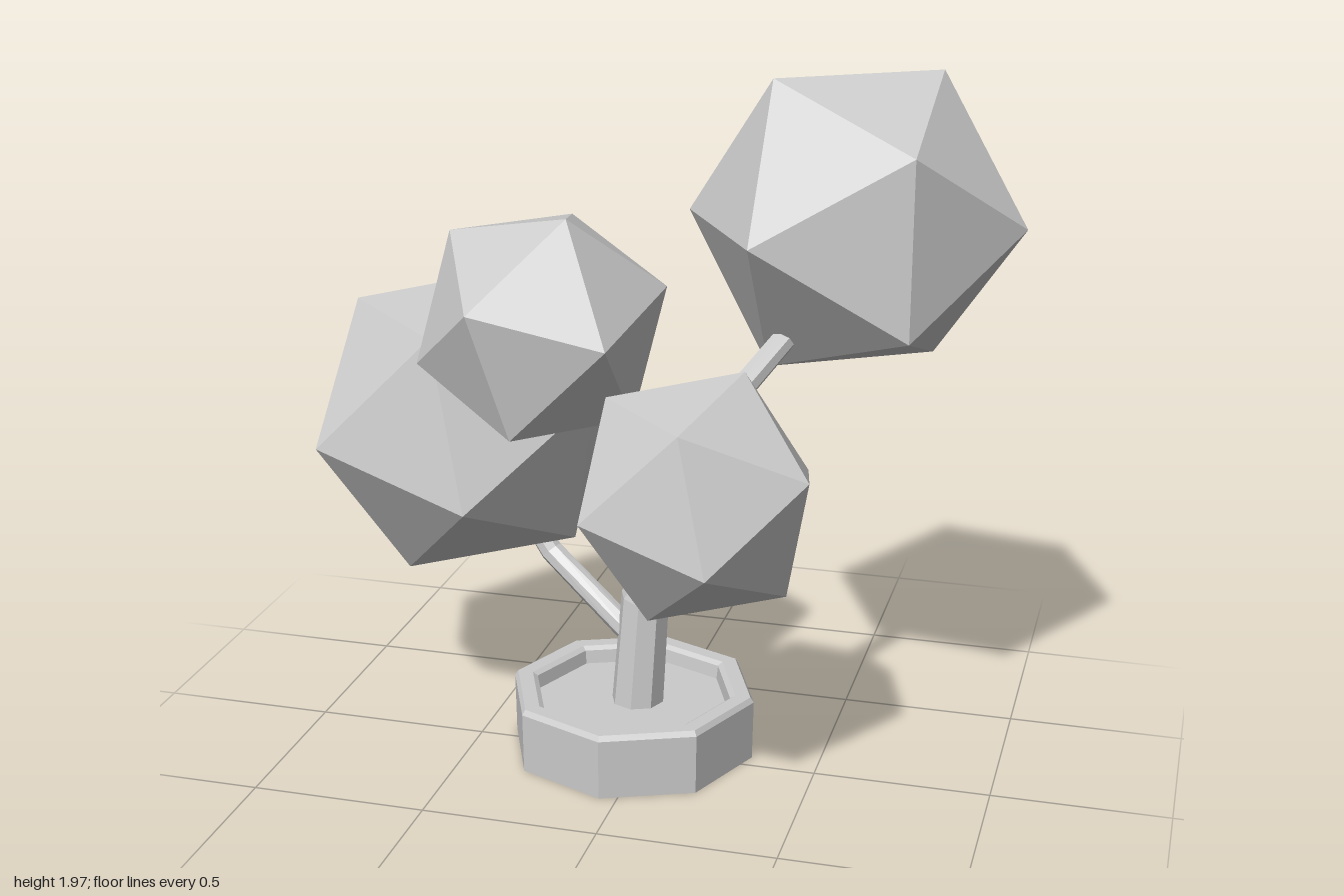
import * as THREE from 'three';

const material = new THREE.MeshStandardMaterial({ color: 0xcccccc, flatShading: true });
const openMaterial = new THREE.MeshStandardMaterial({
  color: 0xcccccc, flatShading: true, side: THREE.DoubleSide });

// Rotation frame with z along one corner and y towards a second corner
function frame(a, b) {
  const z = a.clone().normalize();
  const x = new THREE.Vector3().crossVectors(b, z).normalize();
  const y = new THREE.Vector3().crossVectors(z, x);
  return new THREE.Matrix4().makeBasis(x, y, z);
}

// Icosahedron turned so that one corner points to "pole" and its neighbour to "next"
function foliage(name, center, radius, pole, next) {
  const t = (1 + Math.sqrt(5)) / 2;
  const from = frame(new THREE.Vector3(0, 1, t), new THREE.Vector3(0, -1, t));
  const to = frame(new THREE.Vector3(...pole), new THREE.Vector3(...next));
  const geometry = new THREE.IcosahedronGeometry(radius, 0);
  geometry.applyMatrix4(to.multiply(from.transpose()));
  const mesh = new THREE.Mesh(geometry, material);
  mesh.name = name;
  mesh.position.set(...center);
  return mesh;
}

// Tapered limb: mitred rings along [x, y, z, radius] points, closed at both ends
function limb(name, points, sides) {
  const path = points.map(p => new THREE.Vector3(p[0], p[1], p[2]));
  const positions = [], index = [];
  const last = path.length - 1;
  path.forEach((p, i) => {
    const dir = new THREE.Vector3();
    if (i > 0) dir.add(p.clone().sub(path[i - 1]).normalize());
    if (i < last) dir.add(path[i + 1].clone().sub(p).normalize());
    dir.normalize();
    const u = new THREE.Vector3(1, 0, 0).addScaledVector(dir, -dir.x).normalize();
    const v = new THREE.Vector3().crossVectors(dir, u);
    for (let k = 0; k < sides; k++) {
      const a = (k / sides) * Math.PI * 2;
      const q = p.clone()
        .addScaledVector(u, points[i][3] * Math.cos(a))
        .addScaledVector(v, points[i][3] * Math.sin(a));
      positions.push(q.x, q.y, q.z);
    }
  });
  for (let i = 0; i < last; i++) {
    for (let k = 0; k < sides; k++) {
      const a = i * sides + k, b = i * sides + (k + 1) % sides;
      index.push(a, b, b + sides, a, b + sides, a + sides);
    }
  }
  for (let k = 1; k < sides - 1; k++) {
    const e = last * sides;
    index.push(0, k + 1, k, e, e + k, e + k + 1);
  }
  const geometry = new THREE.BufferGeometry();
  geometry.setAttribute('position', new THREE.Float32BufferAttribute(positions, 3));
  geometry.setIndex(index);
  geometry.computeVertexNormals();
  const mesh = new THREE.Mesh(geometry, material);
  mesh.name = name;
  return mesh;
}

export function createModel() {
  const group = new THREE.Group();
  group.name = 'pottedTree';

  // Octagonal pot, open underneath, with a rim and sunken soil
  const profile = [[0.357, 0], [0.36, 0.175], [0.35, 0.19], [0.305, 0.19], [0.29, 0.18], [0.285, 0.14]];
  const pot = new THREE.Mesh(
    new THREE.LatheGeometry(profile.map(p => new THREE.Vector2(...p)), 8), openMaterial);
  pot.name = 'pot';
  pot.position.set(-0.05, 0, -0.05);
  group.add(pot);

  const soil = new THREE.Mesh(
    new THREE.LatheGeometry([new THREE.Vector2(0.285, 0.14), new THREE.Vector2(0, 0.14)], 8), openMaterial);
  soil.name = 'soil';
  soil.position.copy(pot.position);
  group.add(soil);

  // Trunk bends to the left, then forward into the front foliage
  group.add(limb('trunk', [
    [-0.04, 0.1, -0.057, 0.077],
    [-0.02, 0.45, -0.075, 0.072],
    [0.1, 0.71, -0.09, 0.064],
    [0.15, 0.86, 0.12, 0.058],
  ], 8));

  // Branches to the other foliage balls
  group.add(limb('lowerBranch', [
    [-0.04, 0.32, -0.07, 0.036],
    [-0.33, 0.53, -0.17, 0.034],
    [-0.45, 0.69, -0.2, 0.03],
  ], 8));
  group.add(limb('middleBranch', [
    [0.08, 0.68, -0.08, 0.034],
    [-0.05, 0.92, -0.03, 0.032],
    [-0.18, 1.17, 0.07, 0.028],
  ], 8));
  group.add(limb('upperBranch', [
    [0.24, 1.1, 0.28, 0.034],
    [0.45, 1.36, -0.1, 0.032],
  ], 8));

  // Foliage balls
  group.add(foliage('topFoliage', [0.537, 1.575, -0.195], 0.4625, [1, 0, 0], [1, 0, -2]));
  group.add(foliage('sideFoliage', [-0.575, 0.928, -0.146], 0.468, [1, -1, 0.055], [1, 0.055, -1]));
  group.add(foliage('middleFoliage', [-0.257, 1.305, 0.119], 0.355, [1, -1, -0.055], [1, 0.055, 1]));
  group.add(foliage('frontFoliage', [0.217, 0.915, 0.283], 0.355, [1, -1, 0.055], [1, 0.055, -1]));

  return group;
}
